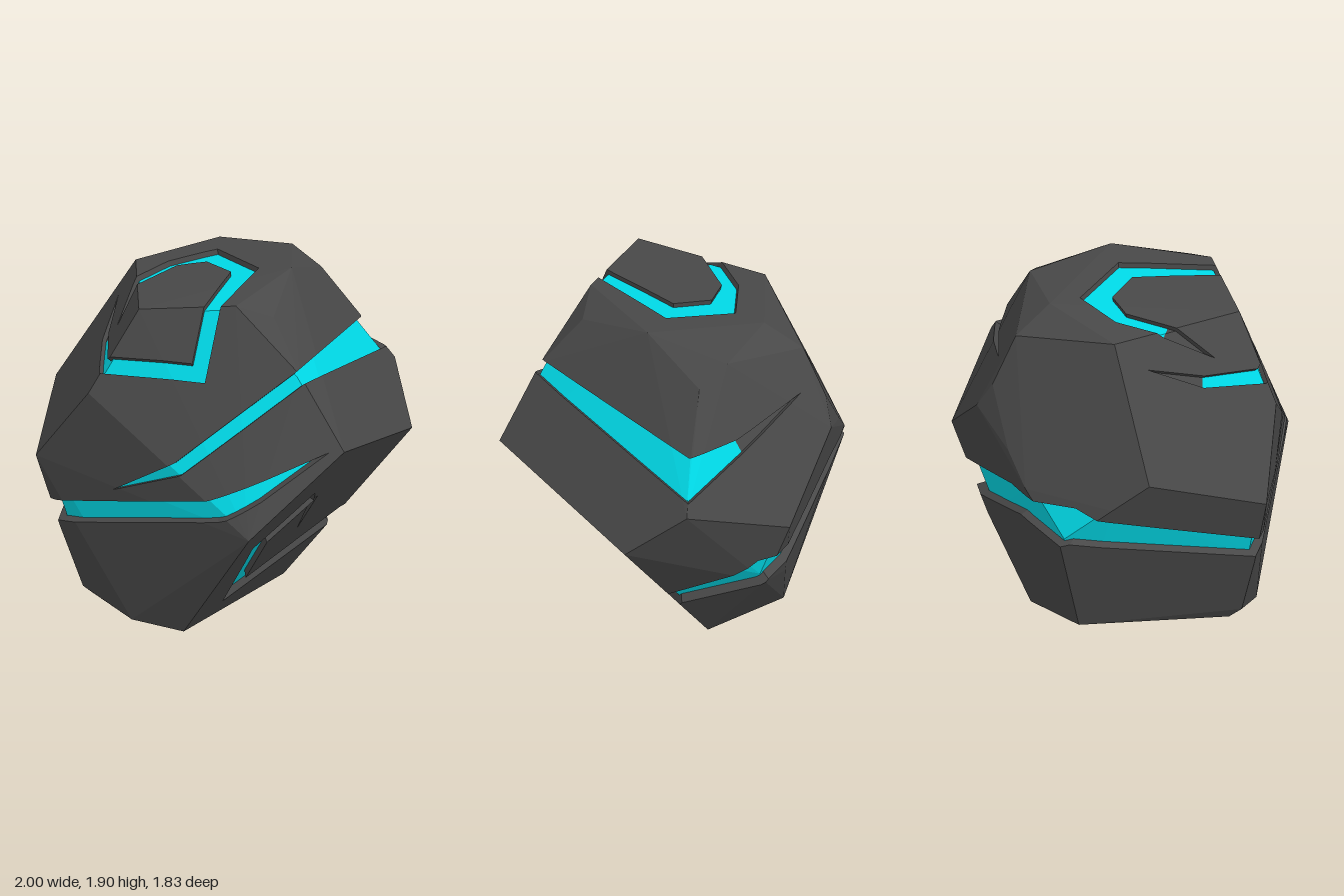
import * as THREE from 'three';
import { ConvexGeometry } from 'three/addons/geometries/ConvexGeometry.js';

const V = (x, y, z) => new THREE.Vector3(x, y, z);
const CENTRE = V(0, 0.95, 0);

// corners of the boulder: crown, shoulders, belt, underside
const corners = [
  [-0.46, 1.84, 0.37], [0.05, 1.88, 0.44], [0.25, 1.8, 0.41], [0.36, 1.905, 0], [0.38, 1.84, -0.46],
  [0.53, 1.75, -0.36], [0, 1.86, -0.52], [-0.03, 1.73, -0.73],

  [-0.45, 1.81, -0.35], [-0.25, 1.8, -0.46], [-0.02, 1.46, -0.86], [0.05, 1.31, -0.92],
  [-0.73, 1.4, 0.46], [0.38, 1.55, 0.6], [0.72, 1.48, -0.39],

  [0.92, 1.19, -0.44], [1, 0.92, -0.12], [0.61, 1.16, 0.74], [0.1, 0.73, 0.91], [-1, 0.97, 0.28],
  [-0.87, 1.16, -0.34], [-0.77, 1, -0.51], [-0.37, 1, -0.83], [-0.22, 1.16, -0.86], [0.5, 0.95, -0.86],

  [0.5, 0.55, -0.72], [0.28, 0.48, -0.75], [-0.61, 0.76, -0.74], [-0.87, 0.55, 0.27], [-0.75, 0.2, 0.25],
  [0.33, 0, -0.33], [-0.23, 0.06, 0.55], [-0.5, 0.09, 0.45], [-0.7, 0.14, 0.2], [-0.48, 0.16, -0.57], [0, 0.06, -0.63],
].map(p => V(...p));

// a seam point on the big slanted facet at the lower front left
const onSlant = (y, z, width) => [(0.075 + 0.648 * y - 0.508 * z) / 0.741, y, z, width];

// seams follow centre lines of [x, y, z, width]; width 0 is a tapered tip.
// lit = first and last segment with a bright floor; floor = how far out the floor sits
const beltSeam = {
  lit: [0, 9],
  floor: 0.945,
  path: [
    onSlant(0.8, 0.495, 0.13), onSlant(0.59, 0.65, 0.12), onSlant(0.21, 0.345, 0.11), onSlant(0.385, -0.23, 0.14),
    [0.535, 0.63, -0.74, 0.2], [-0.2, 0.83, -0.83, 0.2], [-0.63, 0.865, -0.68, 0.2],
    [-0.9, 0.65, 0.3, 0.13], [-0.08, 0.86, 0.82, 0.12], [0.15, 0.965, 0.825, 0.09], [0.53, 1.16, 0.74, 0],
  ],
};
const hookSlit = { lit: [1, 0], floor: 0.945, path: [onSlant(0.78, 0.475, 0.06), onSlant(0.52, 0.26, 0)] };
const sideSeam = {
  lit: [0, 3],
  floor: 0.965,
  path: [
    [-0.62, 0.86, 0.52, 0], [-0.26, 1.055, 0.68, 0.07], [0.38, 1.53, 0.605, 0.075],
    [0.8, 1.35, -0.405, 0.2], [0.515, 1.425, -0.585, 0.08], [0.1, 1.53, -0.76, 0],
  ],
};
const crownSeam = {
  lit: [1, 7],
  floor: 0.97,
  path: [
    [-0.54, 1.66, -0.2, 0], [-0.62, 1.56, 0.09, 0.06], [-0.655, 1.54, 0.42, 0.08], [-0.15, 1.535, 0.54, 0.085],
    [-0.075, 1.87, 0.425, 0.085], [0.115, 1.9, -0.03, 0.13], [-0.05, 1.875, -0.275, 0.14],
    [-0.265, 1.855, -0.23, 0.085], [-0.45, 1.82, -0.05, 0.08], [-0.57, 1.66, 0.18, 0],
  ],
};

// left and right edge points along a seam, mitred at its corners
function seamRibs(path) {
  const points = path.map(([x, y, z]) => V(x, y, z).sub(CENTRE));
  const last = points.length - 1;
  return points.map((p, i) => {
    const up = p.clone().normalize();
    const heading = k => points[k + 1].clone().sub(points[k]).projectOnPlane(up).normalize();
    const before = heading(Math.max(i - 1, 0));
    const along = before.clone().add(heading(Math.min(i, last - 1))).normalize();
    const half = path[i][3] / 2 / Math.max(along.dot(before), 0.5);
    const side = up.cross(along).multiplyScalar(half);
    return [p.clone().add(side), p.clone().sub(side)];
  });
}

// planes from the centre through the sides of one seam segment
function segmentPlanes([l0, r0], [l1, r1], isFirst, isLast) {
  const middle = V(0, 0, 0).add(l0).add(r0).add(l1).add(r1);
  const sides = [[l0, l1, true], [l1, r1, isLast], [r1, r0, true], [r0, l0, isFirst]];
  return sides.filter(([a, b]) => a.distanceTo(b) > 1e-4).map(([a, b, wall]) => {
    const normal = a.clone().cross(b).normalize();
    if (normal.dot(middle) < 0) normal.negate();
    return { normal, wall };
  });
}

// split a convex polygon by a plane through the centre: [inside, outside]
function split(poly, normal) {
  const inside = [], outside = [];
  poly.forEach((p, i) => {
    const q = poly[(i + 1) % poly.length];
    const dp = p.dot(normal), dq = q.dot(normal);
    if (dp >= -1e-7) inside.push(p);
    if (dp <= 1e-7) outside.push(p);
    if ((dp > 1e-7 && dq < -1e-7) || (dp < -1e-7 && dq > 1e-7)) {
      const cut = p.clone().lerp(q, dp / (dp - dq));
      inside.push(cut);
      outside.push(cut);
    }
  });
  return [inside, outside];
}

// mesh from a list of convex polygons, flat shaded
function polygonMesh(name, polys, material) {
  const points = [];
  for (const poly of polys) {
    for (let i = 1; i < poly.length - 1; i++) points.push(poly[0], poly[i], poly[i + 1]);
  }
  const geometry = new THREE.BufferGeometry().setFromPoints(points.map(p => p.clone().add(CENTRE)));
  geometry.computeVertexNormals();
  const mesh = new THREE.Mesh(geometry, material);
  mesh.name = name;
  return mesh;
}

export function createModel() {
  const stone = new THREE.MeshStandardMaterial({ color: 0x484848 });
  stone.name = 'dark stone';
  const glow = new THREE.MeshStandardMaterial({ color: 0x00dcea });
  glow.name = 'bright cyan';

  // facets of the uncut boulder, relative to its centre
  const position = new ConvexGeometry(corners.map(p => p.clone().sub(CENTRE))).getAttribute('position');
  let shell = [];
  for (let i = 0; i < position.count; i += 3) {
    shell.push([0, 1, 2].map(k => new THREE.Vector3().fromBufferAttribute(position, i + k)));
  }

  // carve every seam segment out of the shell
  const walls = [], brightFloors = [], darkFloors = [];
  for (const { lit, floor, path } of [beltSeam, hookSlit, sideSeam, crownSeam]) {
    const sink = p => p.clone().multiplyScalar(floor);
    const ribs = seamRibs(path);
    for (let s = 0; s < ribs.length - 1; s++) {
      const planes = segmentPlanes(ribs[s], ribs[s + 1], s === 0, s === ribs.length - 2);
      const floors = s >= lit[0] && s <= lit[1] ? brightFloors : darkFloors;
      const rest = [];
      for (const facet of shell) {
        let piece = facet;
        const scraps = [];
        for (const { normal } of planes) {
          const [inside, outside] = split(piece, normal);
          if (outside.length > 2) scraps.push(outside);
          piece = inside;
          if (piece.length < 3) break;
        }
        if (piece.length < 3) {
          rest.push(facet);
          continue;
        }
        rest.push(...scraps);
        floors.push(piece.map(sink));
        // side walls from the shell down to the floor
        piece.forEach((p, i) => {
          const q = piece[(i + 1) % piece.length];
          const onWall = planes.some(({ normal, wall }) =>
            wall && Math.abs(p.dot(normal)) < 1e-5 && Math.abs(q.dot(normal)) < 1e-5);
          if (onWall) walls.push([p, q, sink(q), sink(p)]);
        });
      }
      shell = rest;
    }
  }

  const group = new THREE.Group();
  group.name = 'boulder';
  group.add(
    polygonMesh('stoneShell', shell, stone),
    polygonMesh('seamWalls', walls, stone),
    polygonMesh('seamTips', darkFloors, stone),
    polygonMesh('glowingSeams', brightFloors, glow),
  );
  return group;
}
